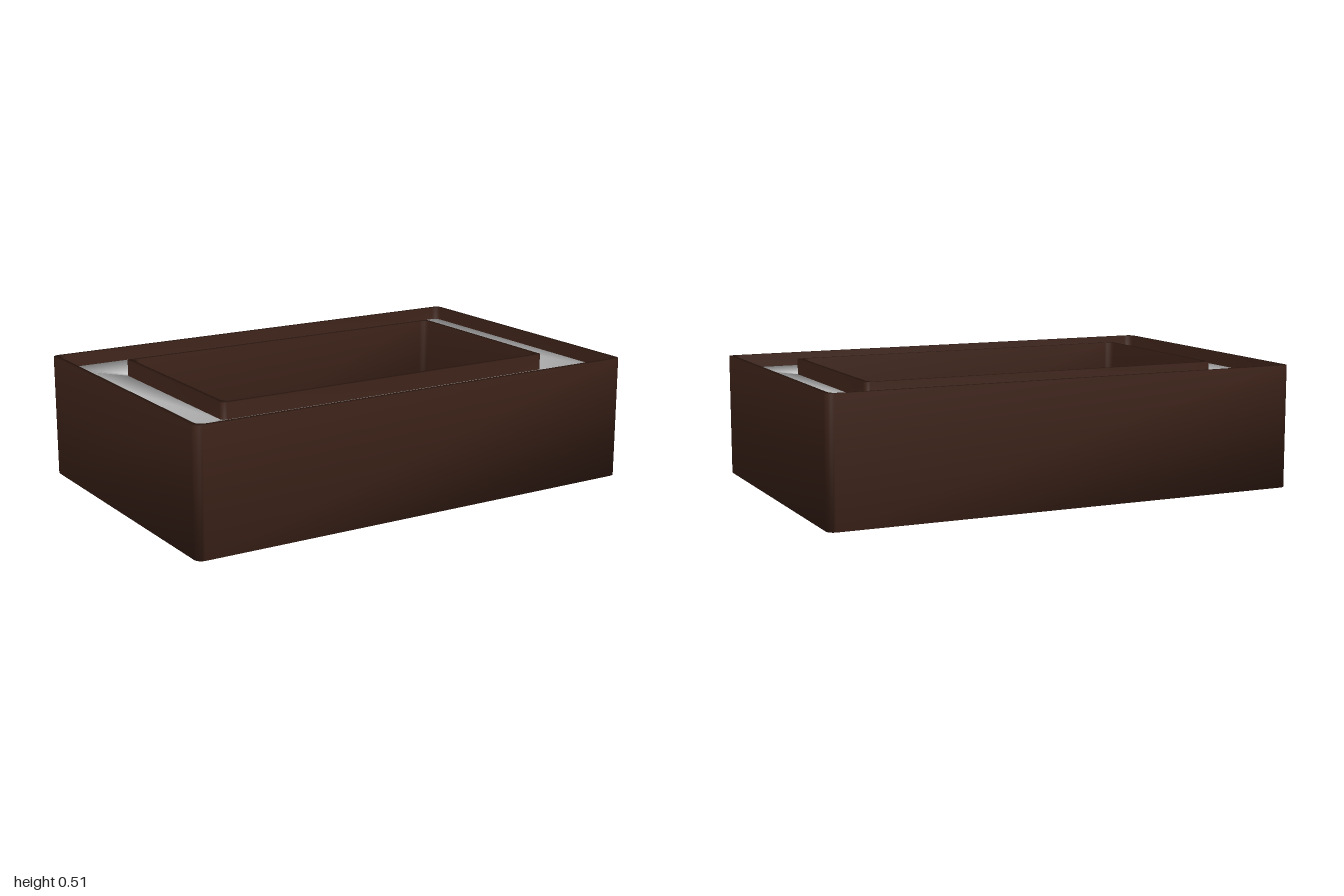
import * as THREE from 'three';

const CORNER_STEPS = 4;

// Corner-rounded rectangle: half sizes hx, hz and corner radius r
function loop(hx, hz, r) {
  const pts = [];
  for (let q = 0; q < 4; q++) {
    const sx = q === 0 || q === 3 ? 1 : -1;
    const sz = q < 2 ? 1 : -1;
    for (let s = 0; s <= CORNER_STEPS; s++) {
      const a = (q + s / CORNER_STEPS) * Math.PI / 2;
      pts.push([sx * (hx - r) + r * Math.cos(a), sz * (hz - r) + r * Math.sin(a)]);
    }
  }
  return pts;
}

// Closed section swept around the rectangle; section rows are [hx, hz, radius, y]
function frame(name, section, color) {
  const pos = [], index = [];
  const n = 4 * (CORNER_STEPS + 1), m = section.length;
  for (const [hx, hz, r, y] of section) {
    for (const [x, z] of loop(hx, hz, r)) pos.push(x, y, z);
  }
  for (let i = 0; i < m; i++) {
    for (let j = 0; j < n; j++) {
      const i2 = (i + 1) % m, j2 = (j + 1) % n;
      const a = i * n + j, b = i2 * n + j, c = i2 * n + j2, d = i * n + j2;
      index.push(a, b, d, b, c, d);
    }
  }
  const geo = new THREE.BufferGeometry();
  geo.setAttribute('position', new THREE.Float32BufferAttribute(pos, 3));
  geo.setIndex(index);
  geo.computeVertexNormals(); // shared corners give the soft shading
  const mesh = new THREE.Mesh(geo, new THREE.MeshStandardMaterial({ color }));
  mesh.name = name;
  return mesh;
}

export function createModel() {
  const group = new THREE.Group();
  group.name = 'hollowPlanter';
  const top = 0.51, floor = 0.03, fill = 0.455;

  // Trough: outer wall, channel, inner wall and underside
  group.add(frame('trough', [
    [1, 0.655, 0.03, 0],
    [1, 0.655, 0.03, top],
    [0.978, 0.634, 0.03, top],
    [0.978, 0.634, 0.03, floor],
    [0.766, 0.421, 0.02, floor],
    [0.766, 0.421, 0.02, top],
    [0.745, 0.402, 0.03, top],
    [0.745, 0.402, 0.03, 0],
  ], 0x3f241a));

  // Filling that lies in the channel just below the rims
  group.add(frame('filling', [
    [0.978, 0.634, 0.03, floor + 0.01],
    [0.978, 0.634, 0.03, fill],
    [0.766, 0.421, 0.02, fill - 0.01],
    [0.766, 0.421, 0.02, floor + 0.01],
  ], 0xcccccc));

  return group;
}
